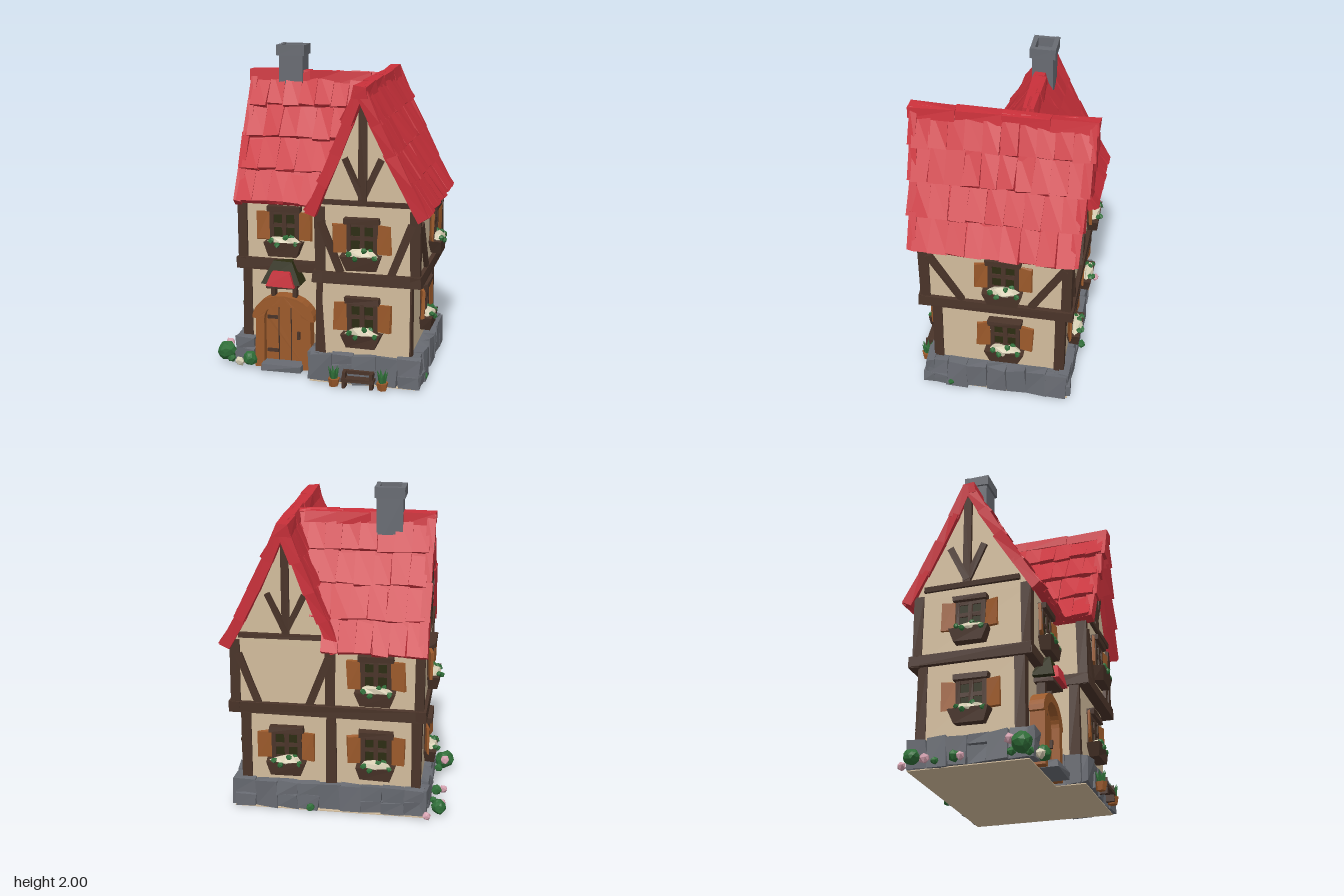
import * as THREE from 'three';
import { mergeGeometries } from 'three/addons/utils/BufferGeometryUtils.js';

const mat = (name, color) => Object.assign(new THREE.MeshStandardMaterial({ color }), { name });

export function createModel() {
  const red = mat('roof red', 0xc9303a), plaster = mat('plaster', 0xd2bc9c), timber = mat('dark timber', 0x4a3429),
    wood = mat('warm wood', 0x9c5a2b), stone = mat('stone', 0x686b72), green = mat('leaf green', 0x2f6e38),
    pink = mat('blossom pink', 0xd3a0ae), cream = mat('cream blossom', 0xd8cfb4), olive = mat('dark olive', 0x2c2c12);
  const house = new THREE.Group();
  house.name = 'cottage';
  let seed = 7;
  const rand = () => (seed = (seed * 16807) % 2147483647) / 2147483647;

  // Hand-cut look: shift shared corners together, then give every face its own normal
  function rough(geo, amt) {
    const g = geo.index ? geo.toNonIndexed() : geo, p = g.attributes.position, moved = new Map();
    for (let i = 0; i < p.count; i++) {
      const a = [p.getX(i), p.getY(i), p.getZ(i)], key = a.map(v => Math.round(v * 1e4)).join();
      if (!moved.has(key)) moved.set(key, a.map(v => v + (rand() - 0.5) * 2 * amt));
      p.setXYZ(i, ...moved.get(key));
    }
    g.computeVertexNormals();
    return g;
  }
  // Box whose top may be wider or narrower than its foot
  function block(w, h, d, amt = 0.004, topX = 1, topZ = 1) {
    const g = new THREE.BoxGeometry(w, h, d), p = g.attributes.position;
    for (let i = 0; i < p.count; i++) if (p.getY(i) > 0) p.setXYZ(i, p.getX(i) * topX, p.getY(i), p.getZ(i) * topZ);
    return rough(g, amt);
  }
  function add(parent, name, geo, m, x = 0, y = 0, z = 0) {
    const mesh = new THREE.Mesh(geo, m);
    mesh.name = name;
    mesh.position.set(x, y, z);
    parent.add(mesh);
    return mesh;
  }
  function group(parent, name, x = 0, z = 0, rot = 0) {
    const g = new THREE.Group();
    g.name = name;
    g.position.set(x, 0, z);
    g.rotation.y = rot;
    parent.add(g);
    return g;
  }
  const span = (name, m, x0, x1, y0, y1, z0, z1, amt = 0) =>
    add(house, name, block(x1 - x0, y1 - y0, z1 - z0, amt), m, (x0 + x1) / 2, (y0 + y1) / 2, (z0 + z1) / 2);
  const beam = (parent, name, u1, v1, u2, v2, w = 0.045, d = 0.035) => {
    const b = add(parent, name, block(Math.hypot(u2 - u1, v2 - v1), w, d), timber, (u1 + u2) / 2, (v1 + v2) / 2, 0.004);
    b.rotation.z = Math.atan2(v2 - v1, u2 - u1);
  };

  // Ground plate and stone plinth
  span('floorPlate', plaster, -0.04, 0.63, 0, 0.006, -0.46, 0.44);
  span('floorPlate', plaster, -0.56, -0.04, 0, 0.006, -0.46, 0.26);
  span('plinthCore', stone, -0.01, 0.6, 0.006, 0.18, -0.43, 0.4);
  span('plinthCore', stone, -0.53, 0, 0.006, 0.18, -0.43, 0.2);
  for (const [x, z, rot, len] of [[0.3, 0.41, 0, 0.68], [0.605, -0.01, 1, 0.88], [0.035, -0.432, 2, 1.18],
    [-0.535, -0.1, 3, 0.72], [-0.01, 0.32, 3, 0.2], [-0.505, 0.25, 0, 0.12]]) {
    const side = group(house, 'plinthStones', x, z, rot * Math.PI / 2), n = Math.round(len / 0.125), w = len / n;
    for (let i = 0; i < n; i++) {
      const u = -len / 2 + w * (i + 0.5), cut = rand() < 0.5 ? 0.07 + rand() * 0.06 : 0.182;
      add(side, 'stone', block(w, cut - 0.01, 0.065, 0.01), stone, u, cut / 2 + 0.006, rand() * 0.012);
      if (cut < 0.18) add(side, 'stone', block(w, 0.182 - cut, 0.06, 0.008), stone, u, (0.19 + cut) / 2, rand() * 0.01);
    }
  }

  // Plaster walls with an overhanging upper floor
  span('lowerWall', plaster, 0.01, 0.57, 0.15, 0.68, -0.42, 0.4);
  span('lowerWall', plaster, -0.52, 0.02, 0.15, 0.68, -0.42, 0.22);
  span('upperWall', plaster, 0.01, 0.62, 0.66, 1.08, -0.45, 0.44);
  span('upperWall', plaster, -0.53, 0.02, 0.66, 1.08, -0.45, 0.25);
  const gable = (a, b, peak, z, depth, rot) => {
    const s = new THREE.Shape([[a, 1.06], [b, 1.06], [b, 1.1], [peak, 1.76], [a, 1.1]].map(p => new THREE.Vector2(...p)));
    const g = new THREE.ExtrudeGeometry(s, { depth, bevelEnabled: false }).translate(0, 0, z);
    add(house, 'gableWall', g, plaster).rotation.y = rot;
  };
  gable(0.01, 0.62, 0.29, -0.45, 0.89, 0);
  gable(-0.45, 0.25, -0.13, 0, 0.53, -Math.PI / 2);

  // Corner posts and floor beams
  for (const [x, z] of [[0.025, 0.37], [0.55, 0.37], [0.55, -0.4], [0.025, -0.405], [-0.495, 0.195], [-0.495, -0.4]])
    add(house, 'lowerPost', block(0.062, 0.5, 0.062, 0.005), timber, x, 0.42, z);
  for (const [x, z] of [[0.03, 0.425], [0.605, 0.425], [0.605, -0.435], [0.025, -0.435], [-0.51, 0.235], [-0.51, -0.435]])
    add(house, 'upperPost', block(0.06, 0.43, 0.06, 0.005), timber, x, 0.89, z);
  for (const [x0, x1, z0, z1] of [[-0.01, 0.64, 0.4, 0.465], [-0.55, 0.64, -0.48, -0.42], [0.58, 0.645, -0.48, 0.465],
    [-0.555, -0.49, -0.48, 0.27], [-0.55, 0.03, 0.2, 0.275], [-0.015, 0.05, 0.2, 0.465]])
    span('floorBeam', timber, x0, x1, 0.64, 0.71, z0, z1, 0.004);

  // Shuttered window with a planted box, centred on (u, v) of a wall
  function makeWindow(parent, u, v) {
    const w = group(parent, 'window', u, 0);
    w.position.y = v;
    add(w, 'pane', block(0.15, 0.18, 0.02, 0), olive, 0, 0, 0.008);
    for (const x of [-0.08, 0, 0.08]) add(w, 'frameUpright', block(0.027, 0.19, 0.034, 0.002), timber, x, 0, 0.01);
    for (const y of [-0.085, 0, 0.08]) add(w, 'frameBar', block(0.16, 0.026, 0.03, 0.002), timber, 0, y, 0.01);
    add(w, 'lintel', block(0.21, 0.035, 0.06), timber, 0, 0.105, 0.02);
    for (const s of [-1, 1]) {
      const sh = add(w, 'shutter', block(0.082, 0.175, 0.018, 0.006), wood, s * 0.134, -0.003, 0.024);
      sh.rotation.y = -s * 0.2;
    }
    add(w, 'flowerBox', block(0.18, 0.085, 0.06, 0.005, 1.35, 1.3), timber, 0, -0.142, 0.04);
    add(w, 'blossoms', rough(new THREE.SphereGeometry(1, 8, 4).scale(0.1, 0.034, 0.038), 0.008), cream, 0, -0.096, 0.045);
    for (const [x, y, z] of [[-0.07, -0.088, 0.072], [0.02, -0.068, 0.06], [0.085, -0.105, 0.07], [-0.03, -0.11, 0.085], [0.05, -0.075, 0.03]])
      add(w, 'leaves', rough(new THREE.IcosahedronGeometry(0.019, 0), 0.004), green, x, y, z);
  }

  // Facades: quarter turn, lower centre, upper centre, half width, windows, braces, gable peak offset
  const facades = [
    ['rightWingFront', 0, 0.285, 0.4, 0.31, 0.44, 0.305, true, true, true, -0.02],
    ['rightWingBack', 2, 0.3, -0.42, 0.31, -0.45, 0.305, true, false, true, 0.02],
    ['rightWingSide', 1, 0.57, -0.06, 0.62, -0.015, 0.44, true, true, true, null],
    ['leftWingFront', 0, -0.24, 0.22, -0.24, 0.25, 0.27, false, true, false, null],
    ['leftWingBack', 2, -0.25, -0.42, -0.25, -0.45, 0.27, true, true, false, null],
    ['leftWingSide', 3, -0.52, -0.09, -0.53, -0.1, 0.34, true, true, false, -0.03],
  ];
  for (const [name, q, lx, lz, ux, uz, hw, lowWin, upWin, braced, peak] of facades) {
    const low = group(house, name + 'Lower', lx, lz, q * Math.PI / 2), up = group(house, name + 'Upper', ux, uz, q * Math.PI / 2);
    if (lowWin) makeWindow(low, 0, 0.43);
    if (upWin) makeWindow(up, q === 0 && peak ? peak : q === 1 ? 0.045 : 0, 0.93);
    for (const s of [-1, 1]) {
      if (braced) beam(up, 'brace', s * (hw - 0.03), 1.02, s * (hw - (hw > 0.4 ? 0.23 : 0.15)), 0.71);
      if (peak !== null) beam(up, 'gableBrace', peak, 1.17, peak + s * 0.11, 1.4, 0.038);
    }
    if (peak !== null) {
      beam(up, 'kingPost', peak, 1.13, peak, 1.74, 0.048);
      beam(up, 'tieBeam', 0.04 - hw, 1.14, hw - 0.04, 1.14, 0.03);
    }
  }

  // Roof wing with its ridge along local z; tile courses overlap down both slopes, ends flare towards the ridge
  function roof(name, ridge, eaves, z0, z1, flare, valley) {
    const g = group(house, name), tiles = [], trim = [];
    for (const eave of eaves) {
      const s = Math.sign(eave - ridge);
      const at = t => [ridge + (eave - ridge) * (t - 0.03 * Math.sin(Math.PI * t)), 1.81 - 0.735 * t];
      for (let i = 0; i < 4; i++) {
        const [ax, ay] = at(i / 4), [bx, by] = at((i + 1) / 4), mx = (ax + bx) / 2, my = (ay + by) / 2;
        const len = Math.hypot(bx - ax, by - ay), ang = Math.atan2(by - ay, bx - ax);
        const nx = -Math.sin(ang) * s, ny = Math.cos(ang) * s, out = flare * (1 - i / 3);
        const start = valley ? valley(my) : z0 - out, end = z1 + out, run = end - start;
        tiles.push(block(len * 1.06, 0.04, run, 0).rotateZ(ang).translate(mx, my, (start + end) / 2));
        const n = Math.round(run / 0.105), w = run / n;
        for (let k = 0; k < n; k++)
          tiles.push(block(len * (1.1 + rand() * 0.12), 0.028, w, 0.007).rotateZ(ang + s * (0.09 + rand() * 0.06))
            .translate(mx + nx * 0.02, my + ny * 0.02, start + w * (k + 0.5)));
        for (const z of valley ? [end] : [start, end])
          trim.push(block(len * 1.12, 0.065, 0.05, 0.006).rotateZ(ang).translate(mx + nx * 0.005, my + ny * 0.005, z));
      }
    }
    const tip = flare + 0.03, step = (z1 - z0 + 2 * tip) / 4;
    for (let k = 0; k < 4; k++)
      trim.push(block(0.1, 0.07, step, 0.007, 0.7).translate(ridge, 1.803, z0 - tip + step * (k + 0.5)));
    add(g, 'tiles', mergeGeometries(tiles), red);
    add(g, 'ridgeAndBargeboards', mergeGeometries(trim), red);
    return g;
  }
  roof('rightWingRoof', 0.29, [-0.01, 0.645], -0.48, 0.485, 0.04);
  roof('leftWingRoof', -0.13, [-0.5, 0.29], -0.19, 0.53, 0, y => -(0.335 - 0.41 * (1.81 - y))).rotation.y = -Math.PI / 2;

  // Chimney with an open cap
  add(house, 'chimneyShaft', block(0.155, 0.32, 0.13, 0.004), stone, -0.29, 1.78, -0.14);
  for (const s of [-1, 1]) {
    add(house, 'chimneyCap', block(0.18, 0.065, 0.028, 0.001), stone, -0.29, 1.966, -0.14 + s * 0.064);
    add(house, 'chimneyCap', block(0.028, 0.063, 0.155, 0.001), stone, -0.29 + s * 0.076, 1.966, -0.14);
  }

  // Arched door, step and small hood
  const door = group(house, 'door', -0.245, 0.22), arch = new THREE.Shape(), leaf = new THREE.Shape();
  arch.moveTo(0.185, 0.01).lineTo(0.175, 0.33).lineTo(0.2, 0.33);
  arch.absellipse(0, 0.33, 0.2, 0.155, 0, Math.PI, false).lineTo(-0.175, 0.33).lineTo(-0.185, 0.01).lineTo(-0.122, 0.01);
  arch.lineTo(-0.122, 0.33).absellipse(0, 0.33, 0.122, 0.105, Math.PI, 0, true).lineTo(0.122, 0.01);
  leaf.moveTo(0.125, 0.01).lineTo(0.125, 0.33).absellipse(0, 0.33, 0.125, 0.108, 0, Math.PI, false).lineTo(-0.125, 0.01);
  const solid = (s, depth) => rough(new THREE.ExtrudeGeometry(s, { depth, bevelEnabled: false, curveSegments: 7 }), 0.001);
  add(door, 'doorFrame', solid(arch, 0.12), wood, 0, 0, -0.03);
  add(door, 'doorLeaf', solid(leaf, 0.07), wood, 0, 0, -0.03);
  for (const x of [-0.04, 0.04]) add(door, 'plankGap', block(0.006, 0.35, 0.006, 0), timber, x, 0.22, 0.04);
  for (const y of [0.11, 0.33]) add(door, 'hinge', block(0.07, 0.022, 0.008, 0.001), timber, -0.08, y, 0.043);
  add(door, 'doorHandle', block(0.018, 0.05, 0.02, 0.002), timber, 0.09, 0.22, 0.047);
  add(door, 'doorStep', block(0.26, 0.045, 0.13, 0.005), stone, 0, 0.03, 0.08);
  for (const s of [-1, 1]) add(door, 'hoodPost', block(0.025, 0.11, 0.05, 0.003), timber, s * 0.07, 0.51, 0.04);
  add(door, 'hoodBeam', block(0.2, 0.025, 0.12, 0.003), timber, 0, 0.555, 0.06);
  add(door, 'hoodRoof', block(0.25, 0.14, 0.14, 0.004, 0.45, 0.4), olive, 0, 0.64, 0.06);
  add(door, 'hoodTiles', block(0.18, 0.09, 0.13, 0.004, 0.6, 0.75), red, 0, 0.605, 0.085);

  // Bench and potted plants by the front wall
  const bench = group(house, 'bench', 0.275, 0.49);
  add(bench, 'seat', block(0.2, 0.02, 0.06, 0.002), timber, 0, 0.055, 0);
  add(bench, 'backRest', block(0.19, 0.022, 0.015, 0.002), timber, 0, 0.092, -0.025);
  for (const s of [-1, 1]) {
    add(bench, 'benchLeg', block(0.02, 0.1, 0.05, 0.002), timber, s * 0.085, 0.053, 0);
    const pot = group(bench, 'pottedPlant', s * 0.15, 0);
    add(pot, 'pot', rough(new THREE.CylinderGeometry(0.038, 0.028, 0.05, 6), 0.002), wood, 0, 0.028, 0);
    for (let i = 0; i < 6; i++) {
      const l = add(pot, 'leaf', rough(new THREE.ConeGeometry(0.018, 0.085, 4), 0.002), green, Math.cos(i * 1.05) * 0.02, 0.088, Math.sin(i * 1.05) * 0.02);
      l.rotation.set(Math.sin(i * 1.05) * 0.35, 0, -Math.cos(i * 1.05) * 0.35);
    }
  }

  // Bushes and flowers around the plinth
  for (const [x, y, z, r, m] of [[-0.635, 0.07, 0.24, 0.06, green], [-0.6, 0.035, 0.27, 0.03, green], [-0.64, 0.1, 0.17, 0.03, pink],
    [-0.6, 0.04, 0.17, 0.03, green], [-0.64, 0.055, -0.4, 0.045, green], [-0.65, 0.035, -0.32, 0.032, pink], [-0.6, 0.035, -0.28, 0.025, green],
    [-0.61, 0.045, -0.16, 0.035, green], [-0.65, 0.03, -0.11, 0.027, pink], [-0.57, 0.03, -0.49, 0.028, pink],
    [-0.53, 0.035, 0.315, 0.03, cream], [-0.46, 0.06, 0.31, 0.045, green], [0.645, 0.035, 0.28, 0.026, green], [0.15, 0.035, -0.485, 0.028, green]])
    add(house, m === green ? 'bush' : 'flower', rough(new THREE.IcosahedronGeometry(r, r > 0.04 ? 1 : 0), r * 0.12), m, x, y, z);

  return house;
}
